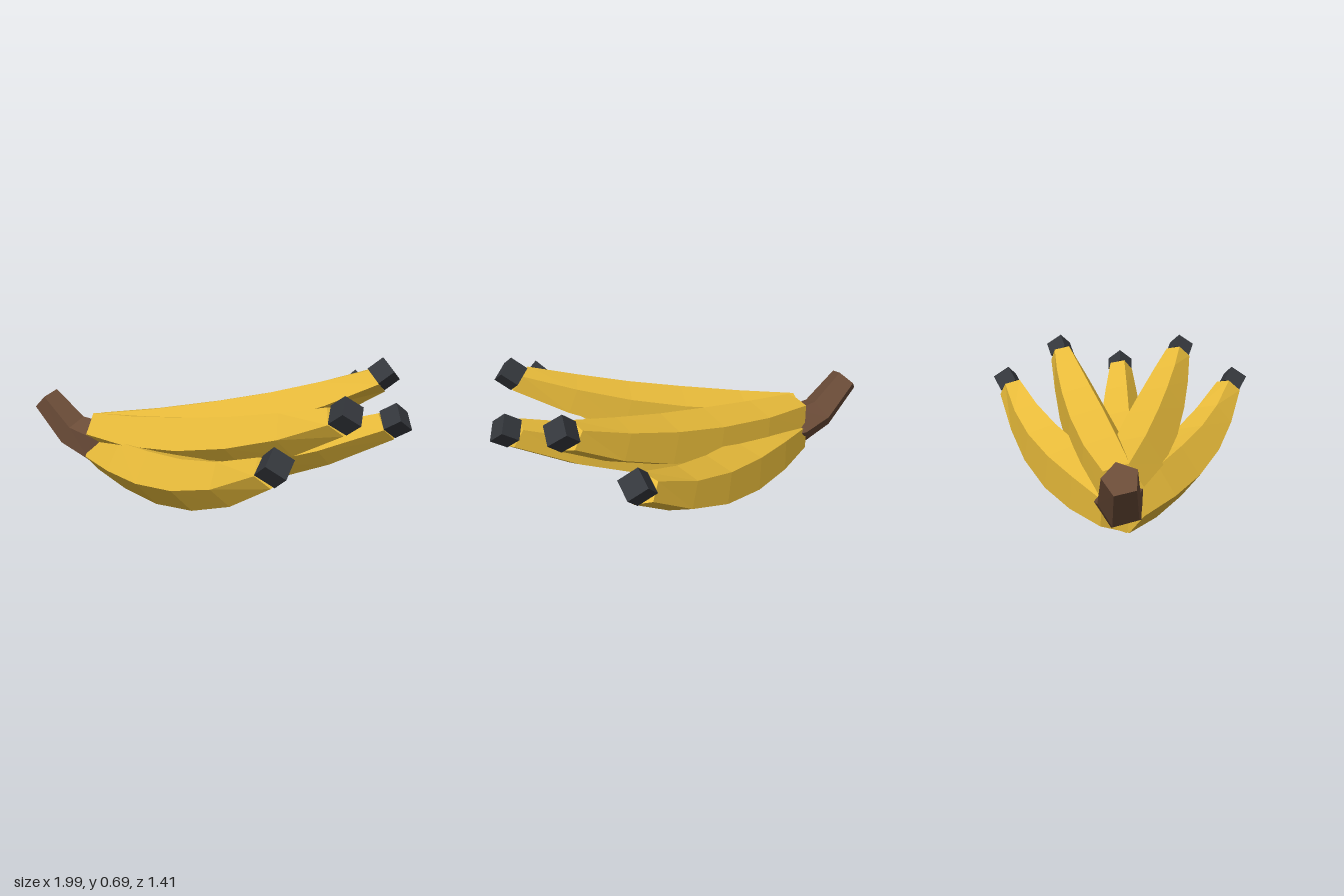
import * as THREE from 'three';

const paint = (color) => new THREE.MeshStandardMaterial({ color, flatShading: true, roughness: 0.8 });

// Sweeps a regular polygon of varying radius along a path; `next` aims the last ring.
function loft(path, radii, sides, rollDeg, next) {
  const pts = path.map((p) => new THREE.Vector3(...p));
  const n = pts.length;
  const after = next ? new THREE.Vector3(...next) : pts[n - 1];
  const pos = [];
  const index = [];
  pts.forEach((p, i) => {
    const ahead = i < n - 1 ? pts[i + 1] : after;
    const behind = i === 0 || (i === n - 1 && next) ? (i === 0 ? p : pts[i]) : pts[i - 1];
    const along = ahead.clone().sub(behind).normalize();
    const side = along.clone().cross(new THREE.Vector3(0, 1, 0)).normalize();
    const up = side.clone().cross(along);
    for (let k = 0; k < sides; k++) {
      const a = THREE.MathUtils.degToRad(rollDeg) + (k / sides) * Math.PI * 2;
      const v = p.clone().addScaledVector(side, radii[i] * Math.cos(a)).addScaledVector(up, radii[i] * Math.sin(a));
      pos.push(v.x, v.y, v.z);
    }
  });
  const last = (n - 1) * sides;
  for (let k = 0; k < sides; k++) {
    const k2 = (k + 1) % sides;
    for (let i = 0; i < n - 1; i++) {
      const a = i * sides + k, b = i * sides + k2;
      index.push(a, a + sides, b, b, a + sides, b + sides);
    }
    // End faces
    if (k > 0 && k < sides - 1) index.push(0, k, k + 1, last, last + k + 1, last + k);
  }
  const g = new THREE.BufferGeometry();
  g.setAttribute('position', new THREE.Float32BufferAttribute(pos, 3));
  g.setIndex(index);
  const flat = g.toNonIndexed();
  flat.computeVertexNormals();
  return flat;
}

export function createModel() {
  const model = new THREE.Group();
  model.name = 'bananaBunch';
  const yellow = paint(0xe8bb3a);
  const brown = paint(0x6b4c38);
  const black = paint(0x34373c);

  const add = (name, geometry, material, parent) => {
    const mesh = new THREE.Mesh(geometry, material);
    mesh.name = name;
    parent.add(mesh);
  };

  // One five-sided fruit with a square dark tip; z is flipped for the mirrored side.
  const radii = [0.1, 0.132, 0.14, 0.128, 0.105, 0.072];
  function addBanana(name, path, tipEnd, flip = 1) {
    const turn = ([x, y, z]) => [x, y, z * flip];
    const axis = path.map(turn);
    const end = turn(tipEnd);
    const group = new THREE.Group();
    group.name = name;
    add('fruit', loft(axis, radii, 5, -75, end), yellow, group);
    add('tip', loft([axis[5], end], [0.07, 0.07], 4, 90), black, group);
    model.add(group);
  }

  addBanana('middleBanana', [
    [-0.62, 0.12, 0], [-0.33, 0.137, 0], [0, 0.18, 0],
    [0.31, 0.25, 0], [0.6, 0.355, 0], [0.885, 0.485, 0],
  ], [0.957, 0.533, 0]);

  const upper = [
    [-0.62, 0.245, 0], [-0.32, 0.262, 0.07], [0, 0.317, 0.145],
    [0.27, 0.39, 0.21], [0.52, 0.482, 0.272], [0.75, 0.59, 0.333],
  ];
  const outer = [
    [-0.61, 0.12, 0.01], [-0.37, 0.135, 0.13], [-0.13, 0.16, 0.255],
    [0.11, 0.217, 0.385], [0.33, 0.302, 0.495], [0.55, 0.43, 0.605],
  ];
  for (const [label, flip] of [['front', 1], ['back', -1]]) {
    addBanana(label + 'UpperBanana', upper, [0.815, 0.647, 0.36], flip);
    addBanana(label + 'OuterBanana', outer, [0.612, 0.493, 0.65], flip);
  }

  // Bent stem joining the fruit
  add('stem', loft(
    [[-0.945, 0.37, 0], [-0.785, 0.21, 0], [-0.63, 0.165, 0], [-0.5, 0.155, 0]],
    [0.077, 0.095, 0.113, 0.1], 5, 33,
  ), brown, model);

  return model;
}
